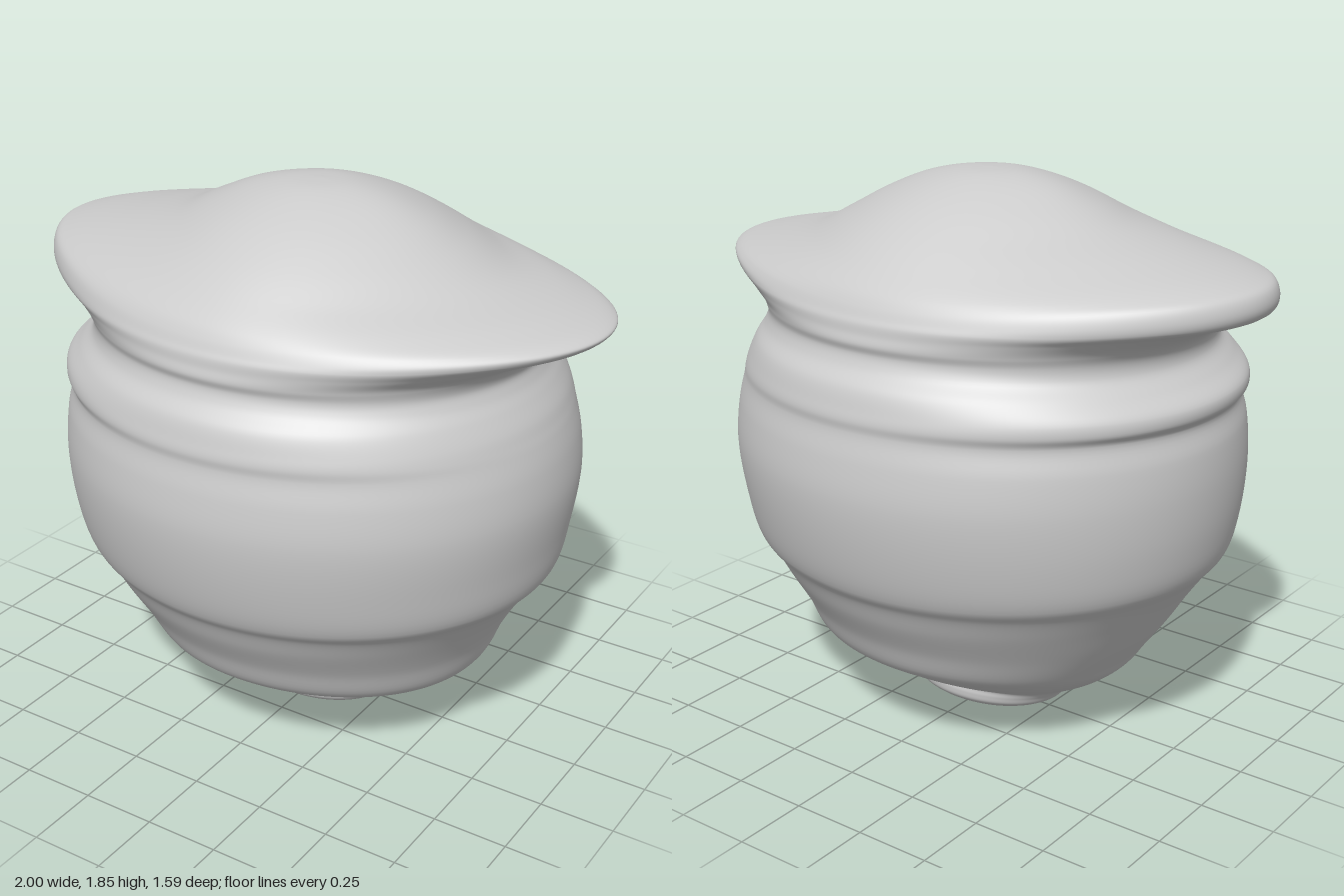
import * as THREE from 'three';
import { mergeVertices } from 'three/addons/utils/BufferGeometryUtils.js';

// Matched radius/height profiles: right side (-x), front and back (z), left side (+x)
const rightProfile = [
  [0, 0], [.15, .005], [.23, .02], [.28, .045], [.3, .07], [.33, .095], [.41, .14], [.49, .19],
  [.54, .235], [.57, .28], [.65, .39], [.72, .5], [.78, .585], [.83, .65], [.86, .78], [.87, .95],
  [.86, 1.08], [.842, 1.165], [.867, 1.2], [.865, 1.24], [.81, 1.29], [.765, 1.34], [.765, 1.385],
  [.8, 1.425], [.9, 1.475], [.985, 1.505], [1, 1.54], [.985, 1.585], [.93, 1.605], [.7, 1.65],
  [.5, 1.7], [.38, 1.755], [.25, 1.81], [.12, 1.84], [0, 1.847],
];
const depthProfile = [
  [0, 0], [.1, .005], [.17, .02], [.21, .05], [.215, .075], [.215, .1], [.31, .15], [.4, .2],
  [.48, .25], [.55, .3], [.6, .4], [.66, .5], [.7, .58], [.735, .63], [.775, .77], [.797, .95],
  [.785, 1.08], [.766, 1.17], [.768, 1.205], [.76, 1.24], [.74, 1.3], [.7, 1.35], [.685, 1.39],
  [.692, 1.42], [.685, 1.45], [.68, 1.48], [.67, 1.5], [.655, 1.53], [.63, 1.565], [.56, 1.625],
  [.46, 1.695], [.33, 1.765], [.2, 1.815], [.1, 1.84], [0, 1.847],
];
const leftProfile = [
  [0, 0], [.15, .005], [.23, .02], [.28, .045], [.31, .07], [.35, .095], [.42, .14], [.5, .19],
  [.58, .24], [.625, .285], [.67, .39], [.73, .5], [.785, .58], [.835, .64], [.865, .78], [.885, .95],
  [.873, 1.08], [.852, 1.165], [.84, 1.2], [.825, 1.24], [.795, 1.295], [.77, 1.34], [.76, 1.38],
  [.79, 1.425], [.9, 1.475], [.985, 1.51], [1, 1.53], [.975, 1.545], [.86, 1.57], [.65, 1.615],
  [.5, 1.69], [.38, 1.755], [.25, 1.81], [.12, 1.84], [0, 1.847],
];

const toCurve = (pts) =>
  new THREE.CatmullRomCurve3(pts.map(([r, y]) => new THREE.Vector3(r, y, 0)), false, 'centripetal');

// Loft whose silhouette blends from one profile to the next around the axis
function loft(rows, cols) {
  const [right, depth, left] = [rightProfile, depthProfile, leftProfile].map(toCurve);
  const positions = [];
  const index = [];
  for (let i = 0; i <= rows; i++) {
    const u = i / rows;
    const d = depth.getPoint(u);
    const sides = [right.getPoint(u), left.getPoint(u)];
    for (let j = 0; j < cols; j++) {
      const t = (j / cols) * Math.PI * 2;
      const c = Math.cos(t);
      const s = Math.sin(t);
      const side = sides[c > 0 ? 1 : 0];
      const y = THREE.MathUtils.lerp(d.y, side.y, c * c);
      // The brim narrows slightly on the diagonals, giving it a lens outline
      const pinch = 1 - 0.045 * THREE.MathUtils.smoothstep(y, 1.38, 1.5) * Math.sin(2 * t) ** 2;
      positions.push(side.x * c * pinch, Math.max(0, y), d.x * s * pinch);
      if (i < rows) {
        const a = i * cols + j;
        const b = i * cols + ((j + 1) % cols);
        if (i < rows - 1) index.push(a, a + cols, b + cols);
        if (i > 0) index.push(a, b + cols, b);
        if (i === rows - 1) index.push(a, a + cols, b);
      }
    }
  }
  // Drop the doubled triangle strip at the top pole
  const geometry = new THREE.BufferGeometry();
  geometry.setAttribute('position', new THREE.Float32BufferAttribute(positions, 3));
  geometry.setIndex(index);
  const merged = mergeVertices(geometry, 1e-5);
  merged.computeVertexNormals();
  return merged;
}

export function createModel() {
  const model = new THREE.Group();
  model.name = 'lidded pot';
  const material = new THREE.MeshStandardMaterial({ color: 0xcccccc });

  // Foot, banded body, neck and winged lid in one continuous skin
  const pot = new THREE.Mesh(loft(204, 144), material);
  pot.name = 'potWithBrim';
  model.add(pot);
  return model;
}
